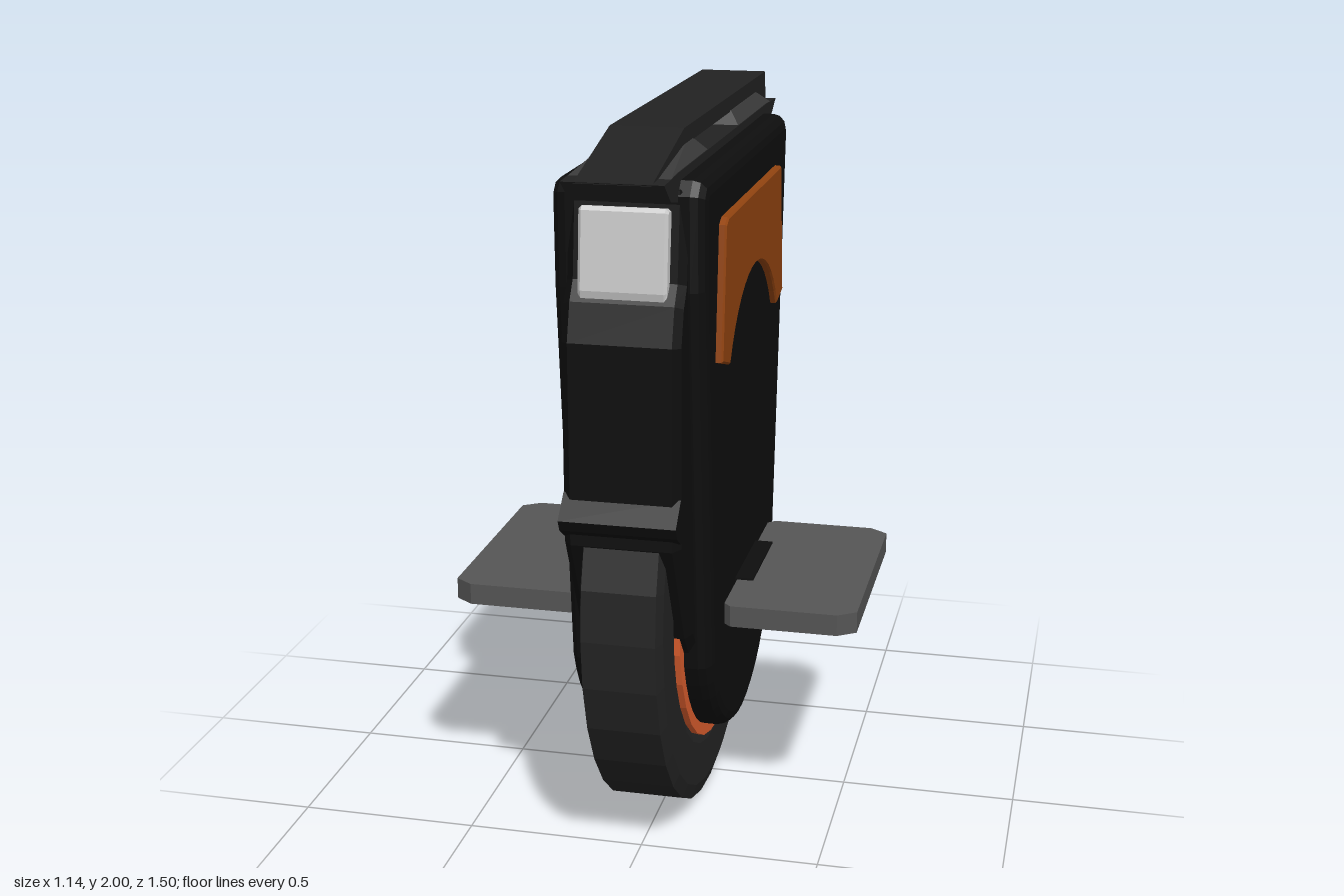
import * as THREE from 'three';

const mat = (color) => new THREE.MeshStandardMaterial({ color, flatShading: true });
const BLACK = mat(0x0e0e0e), RUBBER = mat(0x242424), SEAT = mat(0x222222), MOUNT = mat(0x3a3a3a);
const PEDAL = mat(0x555555), ORANGE = mat(0x934410), RIM = mat(0xe0602f);
const PANEL_GREY = mat(0x4a4846), LIGHT = mat(0xcccccc);
const AXLE_Z = 0.03, AXLE_Y = 0.71;

export function createModel() {
  const group = new THREE.Group();

  const add = (name, geometry, material) => {
    const mesh = new THREE.Mesh(geometry, material);
    mesh.name = name;
    group.add(mesh);
    return mesh;
  };

  // Side outline given as [z, y] points, extruded across x from -half to +half
  const slab = (points, half, bevel = 0, segments = 1) => {
    const shape = new THREE.Shape(points.map(([z, y]) => new THREE.Vector2(z, y)));
    const geometry = new THREE.ExtrudeGeometry(shape, {
      depth: 2 * (half - bevel), bevelEnabled: bevel > 0, bevelSize: bevel,
      bevelThickness: bevel, bevelOffset: -bevel, bevelSegments: segments,
    });
    return geometry.translate(0, 0, -(half - bevel)).rotateY(-Math.PI / 2);
  };

  // Points of an arc in the side plane, angles in degrees
  const arc = (cz, cy, r, from, to, n) => Array.from({ length: n + 1 }, (_, i) => {
    const a = THREE.MathUtils.degToRad(from + (to - from) * i / n);
    return [cz + r * Math.cos(a), cy + r * Math.sin(a)];
  });

  // Ring about the axle from a closed [radius, x] profile
  const ring = (profile) => new THREE.LatheGeometry(
    profile.map(([r, x]) => new THREE.Vector2(r, x)), 32,
  ).rotateZ(Math.PI / 2).translate(0, AXLE_Y, AXLE_Z);

  // Wheel
  add('tyre', ring([[0.51, -0.1], [0.55, -0.112], [0.67, -0.112], [0.71, -0.1],
    [0.71, 0.1], [0.67, 0.112], [0.55, 0.112], [0.51, 0.1], [0.51, -0.1]]), RUBBER);
  add('rim', ring([[0.45, -0.122], [0.525, -0.122], [0.525, 0.122],
    [0.45, 0.122], [0.45, -0.122]]), RIM);

  // Wide side shell with a round bottom concentric to the wheel
  add('sideShell', slab([
    [0.57, 1.9], [0.605, 1.865], [0.6, 1.62],
    ...arc(AXLE_Z, AXLE_Y, 0.49, -19, -161, 18),
    [-0.585, 1.865], [-0.55, 1.9],
  ], 0.2, 0.04, 3), BLACK);

  // Narrower central body that shows in front of and behind the shell
  add('centralBody', slab([
    [0.6, 1.88], [0.63, 1.65], [0.665, 1.6], [0.695, 1.5], [0.695, 0.96],
    [0.55, 0.66], [0.45, 0.54], [-0.4, 0.6], [-0.49, 0.74], [-0.63, 0.98],
    [-0.67, 1.16], [-0.61, 1.82], [-0.57, 1.88],
  ], 0.155, 0.02), BLACK);

  // Fender lips over the tyre
  add('frontFenderLip', slab([[0.68, 1.1], [0.74, 1.04], [0.725, 1.01],
    [0.68, 0.98], [0.6, 1.0]], 0.155), BLACK);
  add('rearFenderLip', slab([[-0.6, 1.08], [-0.685, 1.16], [-0.705, 1.15],
    [-0.695, 1.12], [-0.62, 0.97]], 0.155), BLACK);

  // Lamps
  add('headlight', slab([[0.58, 1.83], [0.638, 1.84], [0.647, 1.83], [0.667, 1.63],
    [0.662, 1.61], [0.6, 1.66]], 0.115, 0.008), LIGHT);
  add('tailLight', slab([[-0.59, 1.78], [-0.645, 1.77], [-0.655, 1.7],
    [-0.6, 1.7]], 0.1, 0.008), LIGHT);

  // Seat base, grip bar above it and the two tapered mounts between them
  add('seatBase', slab([[0.75, 1.918], [0.68, 1.865], [0.6, 1.85], [-0.63, 1.85],
    [-0.75, 1.918], [-0.6, 1.923], [0.6, 1.923]], 0.13), SEAT);
  add('seatBar', slab([[0.75, 1.915], [0.39, 2], [-0.74, 2], [-0.75, 1.92],
    [-0.6, 1.92], [-0.2, 1.955], [0.29, 1.955], [0.6, 1.915]], 0.098), SEAT);
  const mounts = {
    frontSeatMount: [[0.68, 1.92], [0.4, 1.958], [0.29, 1.958], [0.24, 1.92]],
    rearSeatMount: [[-0.66, 1.92], [-0.58, 1.958], [-0.2, 1.958], [-0.165, 1.92]],
  };
  for (const [name, points] of Object.entries(mounts)) {
    const geometry = slab(points, 0.13);
    const p = geometry.attributes.position;
    for (let i = 0; i < p.count; i++) if (p.getY(i) > 1.94) p.setX(i, p.getX(i) * 0.78);
    add(name, geometry, MOUNT);
  }

  // Decorative side panels, pedals and pedal brackets
  const panelOutline = [
    [0.475, 1.41], [0.44, 1.765], [0.41, 1.78], [-0.36, 1.78], [-0.41, 1.4],
    ...arc(AXLE_Z, 1.172, 0.403, 149, 31, 16),
  ];
  const pedalShape = new THREE.Shape([
    [0.205, -0.3], [0.225, -0.32], [0.52, -0.32], [0.57, -0.285],
    [0.57, 0.345], [0.52, 0.38], [0.225, 0.38], [0.205, 0.36],
  ].map(([x, z]) => new THREE.Vector2(x, -z)));
  for (const [side, s] of [['left', 1], ['right', -1]]) {
    add(side + 'Panel', slab(panelOutline, 0.015, 0.005), s > 0 ? ORANGE : PANEL_GREY)
      .position.x = s * 0.205;

    const pedal = new THREE.ExtrudeGeometry(pedalShape, { depth: 0.06, bevelEnabled: false })
      .rotateX(-Math.PI / 2).translate(0, 0.635, 0);
    // Half a turn about the pedal's own middle mirrors it, as it is symmetric in z
    if (s < 0) pedal.translate(0, 0, -0.03).rotateY(Math.PI).translate(0, 0, 0.03);
    add(side + 'Pedal', pedal, PEDAL);

    add(side + 'PedalBracket', new THREE.BoxGeometry(0.07, 0.126, 0.305), BLACK)
      .position.set(s * 0.216, 0.638, 0.028);
  }

  return group;
}
